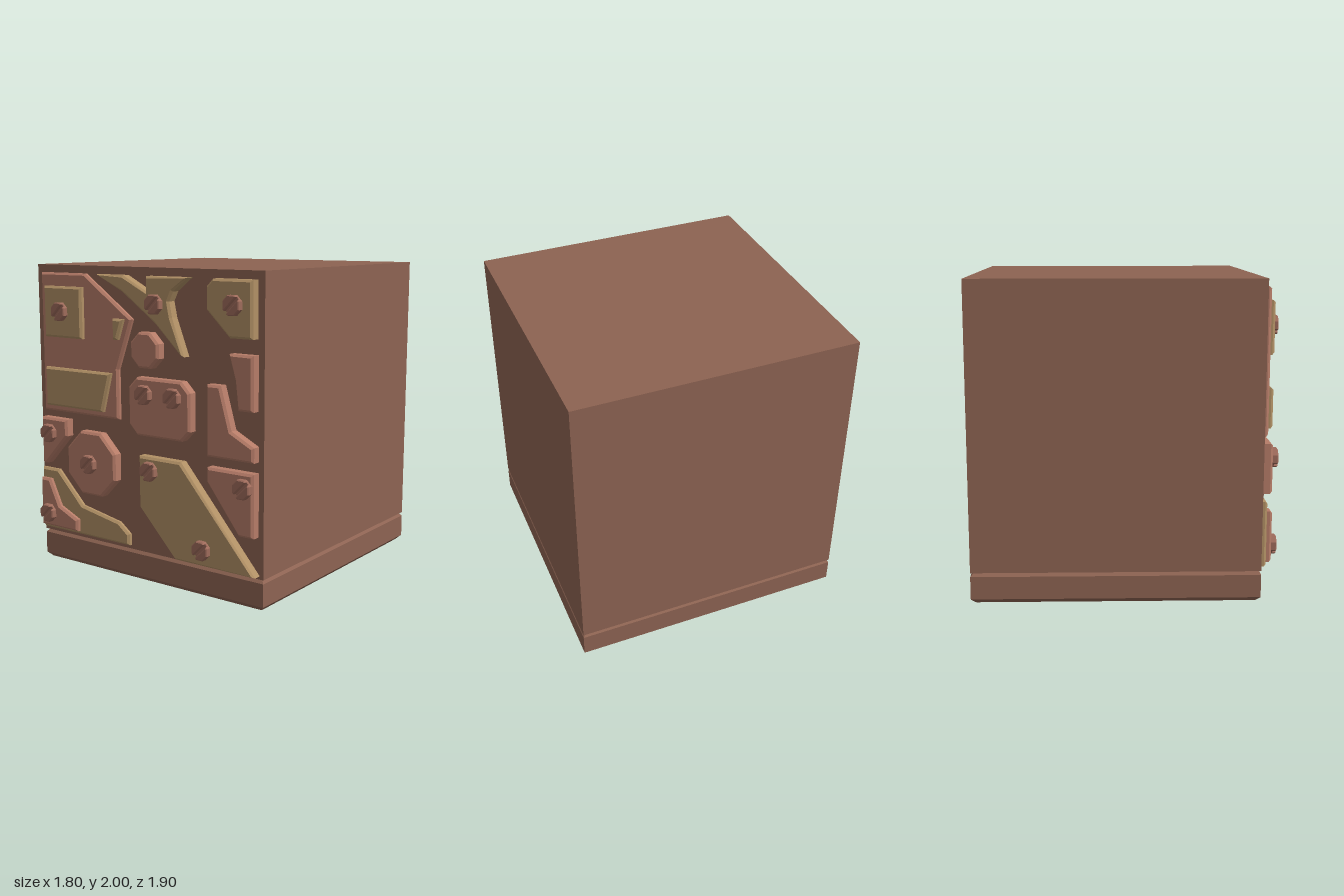
import * as THREE from 'three';

const mat = (color) => new THREE.MeshStandardMaterial({ color, flatShading: true });
const FACE = 0.85; // front face of the block
const MID = 0.88; // top of the thin lower plates
const TOP = 0.913; // top of the other plates

// Slab with bevelled edges whose outline stays at the given points
function slab(points, z0, z1, bevel) {
  const shape = new THREE.Shape(points.map(([x, y]) => new THREE.Vector2(x, y)));
  const geometry = new THREE.ExtrudeGeometry(shape, {
    depth: z1 - z0 - bevel, bevelEnabled: true, bevelSegments: 1,
    bevelSize: bevel, bevelThickness: bevel, bevelOffset: -bevel,
  });
  return geometry.translate(0, 0, z0);
}

// Rectangle whose corners may be cut off by [dx, dy]
function cutRect(x0, y0, x1, y1, { tl, tr, br, bl }) {
  const corner = (x, y, sx, sy, cut) => {
    if (!cut) return [[x, y]];
    const ends = [[x + sx * cut[0], y], [x, y + sy * cut[1]]];
    return sx === sy ? ends : ends.reverse();
  };
  return [
    ...corner(x1, y1, -1, -1, tr).reverse(), ...corner(x0, y1, 1, -1, tl).reverse(),
    ...corner(x0, y0, 1, 1, bl).reverse(), ...corner(x1, y0, -1, 1, br).reverse(),
  ];
}

function evenCut(cx, cy, w, h, c) {
  const cut = [c, c];
  return cutRect(cx - w, cy - h, cx + w, cy + h, { tl: cut, tr: cut, br: cut, bl: cut });
}
const octagon = (cx, cy, a) => evenCut(cx, cy, a, a, a * 0.586);

export function createModel() {
  const model = new THREE.Group();
  const brown = mat(0x8d6352), pink = mat(0xb67c68), tan = mat(0xb19065), screwMat = mat(0x9e6b5b);

  const add = (name, geometry, material, parent = model) => {
    const mesh = new THREE.Mesh(geometry, material);
    mesh.name = name;
    parent.add(mesh);
    return mesh;
  };
  const plate = (name, material, points, z0 = FACE, z1 = TOP) => add(name, slab(points, z0, z1, 0.014), material);

  // Block and its base, with the groove between and the chamfered foot
  const profile = [[0, 0], [0.87, 0], [0.9, 0.03], [0.9, 0.175], [0.875, 0.2], [0.9, 0.2], [0.9, 2], [0, 2]]
    .map(([r, y]) => new THREE.Vector2(r * Math.SQRT2, y));
  const block = new THREE.LatheGeometry(profile, 4, Math.PI / 4);
  add('block', block.translate(0, 0, -0.05), brown);

  // Large plate with its three insets
  plate('largePlate', pink, [[-0.85, 1.95], [-0.46, 1.95], [-0.07, 1.68], [-0.19, 1.36], [-0.19, 1.04], [-0.85, 1.04]], FACE, MID);
  plate('squareInset', tan, cutRect(-0.795, 1.535, -0.465, 1.865, {}), MID);
  plate('smallInset', tan, [[-0.205, 1.68], [-0.12, 1.68], [-0.165, 1.55], [-0.205, 1.55]], MID);
  plate('longInset', tan, [[-0.8, 1.335], [-0.23, 1.335], [-0.3, 1.08], [-0.8, 1.08]], MID);

  // Foot plate with its inset
  plate('footPlate', tan, [[-0.89, 0.64], [-0.74, 0.64], [-0.525, 0.425], [-0.205, 0.365], [-0.12, 0.3], [-0.12, 0.225], [-0.89, 0.225]], FACE, MID);
  plate('footInset', pink, [[-0.875, 0.575], [-0.79, 0.575], [-0.705, 0.4], [-0.545, 0.33], [-0.545, 0.25], [-0.875, 0.25]], MID);

  // Plates with cut corners
  plate('cornerPlate', tan, cutRect(0.53, 1.615, 0.855, 1.95, { tl: [0.045, 0.045], bl: [0.165, 0.155] }));
  plate('lowerSidePlate', pink, cutRect(0.53, 0.455, 0.865, 0.84, { bl: [0.23, 0.295] }));
  plate('wedgePlate', pink, cutRect(-0.85, 0.68, -0.62, 0.995, { br: [0.195, 0.205] }));
  plate('middlePlate', pink, evenCut(0.165, 1.15, 0.24, 0.182, 0.065));
  plate('smallOctagon', pink, octagon(0.055, 1.5, 0.11));
  plate('largeOctagon', pink, octagon(-0.41, 0.73, 0.208));

  // Irregular plates
  plate('clawPlate', tan, [[-0.33, 1.95], [-0.11, 1.95], [0.07, 1.86], [0.07, 1.95], [0.39, 1.95], [0.28, 1.865],
    [0.25, 1.805], [0.27, 1.71], [0.36, 1.48], [0.335, 1.487], [0.14, 1.67], [-0.12, 1.85]]);
  plate('sidePlate', pink, [[0.69, 1.525], [0.86, 1.525], [0.86, 1.2], [0.755, 1.2], [0.735, 1.375]]);
  plate('bentPlate', pink, [[0.53, 1.335], [0.63, 1.335], [0.705, 1.075], [0.865, 0.995], [0.865, 0.905], [0.53, 0.905]]);
  plate('slantedPlate', tan, [[0, 0.84], [0.33, 0.84], [0.875, 0.22], [0.28, 0.22], [0, 0.51]]);

  // Slotted screws: an octagonal core and two half heads with a diagonal slot between
  const a = 0.058, gap = 0.01, cut = [a * 0.586, a * 0.586];
  const core = slab(octagon(0, 0, a), -0.012, 0.015, 0.004);
  const half = slab(cutRect(-a, gap, a, a, { tl: cut, tr: cut }), 0.008, 0.037, 0.006);
  const screws = [[-0.64, 1.705], [0.15, 1.785], [0.73, 1.805], [0.06, 1.23], [0.285, 1.23], [-0.77, 0.895],
    [-0.415, 0.73], [0.095, 0.755], [0.5, 0.325], [0.8, 0.75], [-0.795, 0.345]];
  for (const [x, y] of screws) {
    const screw = new THREE.Group();
    screw.name = 'screw';
    add('screwCore', core, screwMat, screw);
    add('screwHalf', half, screwMat, screw);
    add('screwHalf', half, screwMat, screw).rotation.z = Math.PI;
    screw.position.set(x, y, TOP);
    screw.rotation.z = Math.PI / 4;
    model.add(screw);
  }
  return model;
}
